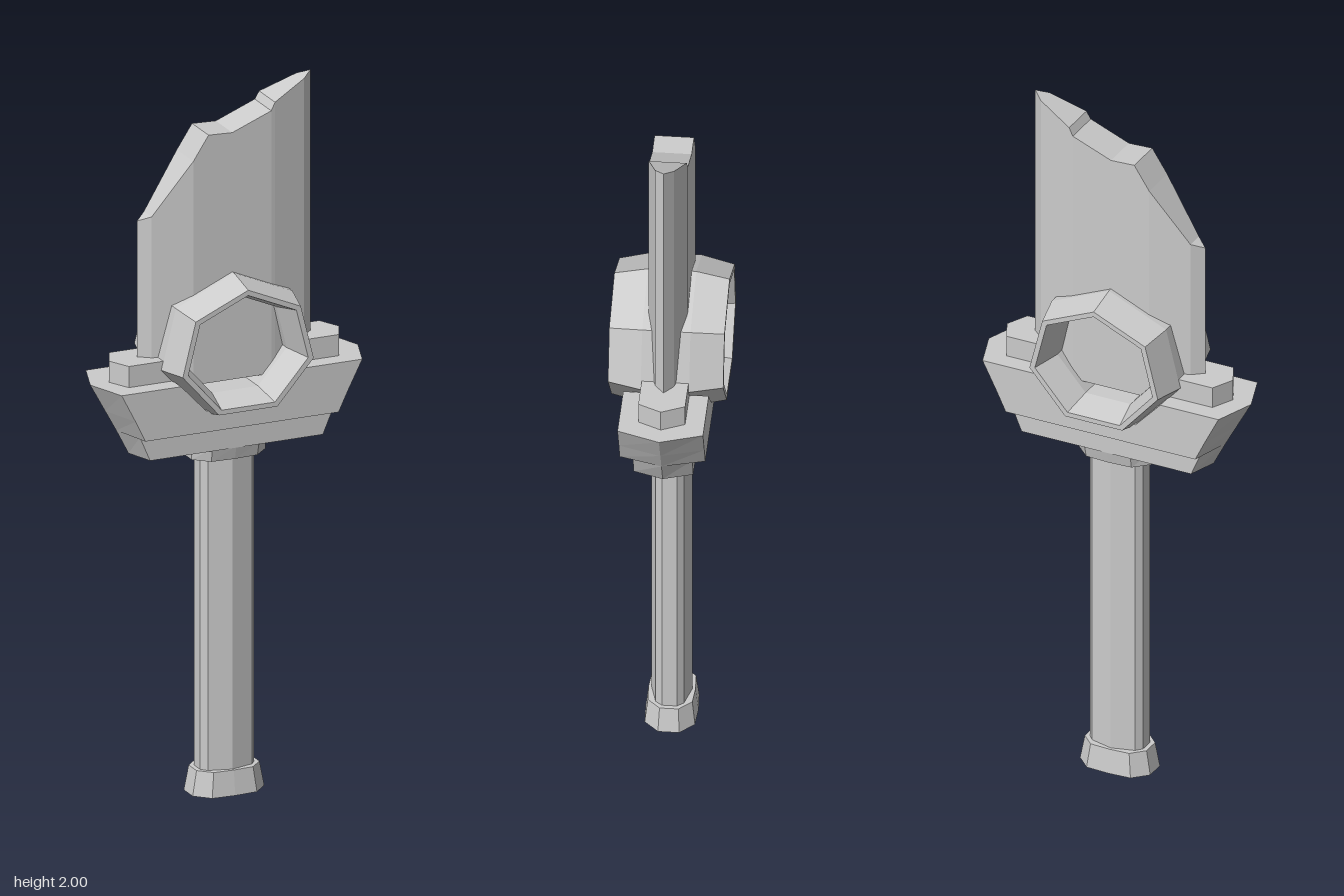
import * as THREE from 'three';

const material = new THREE.MeshStandardMaterial({
  color: 0xcccccc, flatShading: true, side: THREE.DoubleSide,
});

// Solid through four-cornered sections in rising x.
// Section: [xBottom, halfDepthBottom, yBottom, xTop, halfDepthTop, yTop]
function loft(name, sections) {
  const pos = [], index = [];
  for (const [xb, zb, yb, xt, zt, yt] of sections) {
    pos.push(xb, yb, -zb, xb, yb, zb, xt, yt, zt, xt, yt, -zt);
  }
  const quad = (a, b, c, d) => index.push(a, b, c, a, c, d);
  for (let s = 0; s < sections.length - 1; s++) {
    for (let i = 0; i < 4; i++) {
      const a = s * 4, b = a + 4, j = (i + 1) % 4;
      quad(a + i, b + i, b + j, a + j);
    }
  }
  const e = (sections.length - 1) * 4;
  quad(0, 1, 2, 3);
  quad(e + 3, e + 2, e + 1, e);
  const geometry = new THREE.BufferGeometry();
  geometry.setAttribute('position', new THREE.Float32BufferAttribute(pos, 3));
  geometry.setIndex(index);
  geometry.computeVertexNormals();
  const mesh = new THREE.Mesh(geometry, material);
  mesh.name = name;
  return mesh;
}

// Add the mirrored half of a list of sections given from the middle outwards
const mirrorX = (half) =>
  half.map(([xb, zb, yb, xt, zt, yt]) => [-xb, zb, yb, -xt, zt, yt]).reverse();
const symmetric = (half) => [...mirrorX(half), ...half];

// Faceted oval column; outline of [x, halfDepth] from the middle outwards
function column(name, outline, y0, y1, [bx, bz] = [1, 1], [tx, tz] = [1, 1]) {
  const half = outline.map(([x, z]) => [x * bx, z * bz, y0, x * tx, z * tz, y1]);
  return loft(name, [...mirrorX(half.slice(1)), ...half]);
}

export function createModel() {
  const model = new THREE.Group();

  // Grip, pommel and collar share one oval outline
  const oval = [[0, 0.055], [0.065, 0.038], [0.08, 0.02]];
  const round = [[0, 0.055], [0.05, 0.052], [0.08, 0.022]];
  model.add(column('grip', oval, 0.06, 0.97));
  model.add(column('pommel', round, 0, 0.07, [1.32, 1.3], [1.16, 1.15]));
  model.add(column('collar', round, 0.955, 0.995, [1.36, 1.27], [1.38, 1.45]));

  // Lower tier of the guard
  model.add(loft('guardBase', symmetric([
    [0.255, 0.08, 0.99, 0.285, 0.08, 1.06],
    [0.282, 0, 0.99, 0.318, 0, 1.06],
  ])));

  // Main guard: slab below the ring
  model.add(loft('guardSlab', symmetric([
    [0.285, 0.115, 1.06, 0.314, 0.115, 1.12],
    [0.318, 0, 1.06, 0.351, 0, 1.12],
  ])));

  // Guard wings beside the ring, with a smaller block on each
  const wing = [
    [0.105, 0.115, 1.12, 0.18, 0.115, 1.2],
    [0.314, 0.115, 1.12, 0.355, 0.115, 1.2],
    [0.351, 0, 1.12, 0.395, 0, 1.2],
  ];
  const block = [
    [0.18, 0.063, 1.19, 0.19, 0.063, 1.26],
    [0.31, 0.063, 1.19, 0.31, 0.063, 1.26],
    [0.34, 0, 1.19, 0.34, 0, 1.26],
  ];
  model.add(loft('leftGuardWing', wing), loft('rightGuardWing', mirrorX(wing)));
  model.add(loft('leftGuardBlock', block), loft('rightGuardBlock', mirrorX(block)));

  // Seven-sided ring, bevelled outside and inside
  const profile = [
    [0.18, -0.155], [0.2, -0.065], [0.2, 0.065], [0.18, 0.155],
    [0.165, 0.155], [0.142, 0.07], [0.142, -0.07], [0.165, -0.155], [0.18, -0.155],
  ].map(([r, y]) => new THREE.Vector2(r, y));
  const ringGeometry = new THREE.LatheGeometry(profile, 7);
  ringGeometry.rotateX(-Math.PI / 2);
  ringGeometry.scale(1.1, 1, 1);
  const ring = new THREE.Mesh(ringGeometry, material);
  ring.name = 'guardRing';
  ring.position.y = 1.28;
  model.add(ring);

  // Broken blade: [x, half thickness, top height]
  const blade = [
    [-0.257, 0, 1.645], [-0.225, 0.025, 1.66], [-0.115, 0.053, 1.81],
    [-0.07, 0.053, 1.878], [0, 0.053, 1.875], [0.115, 0.053, 1.92],
    [0.127, 0.051, 1.942], [0.225, 0.025, 1.987], [0.255, 0, 2],
  ];
  model.add(loft('brokenBlade', blade.map(([x, z, y]) => [x, z, 1.175, x, z, y])));

  return model;
}
